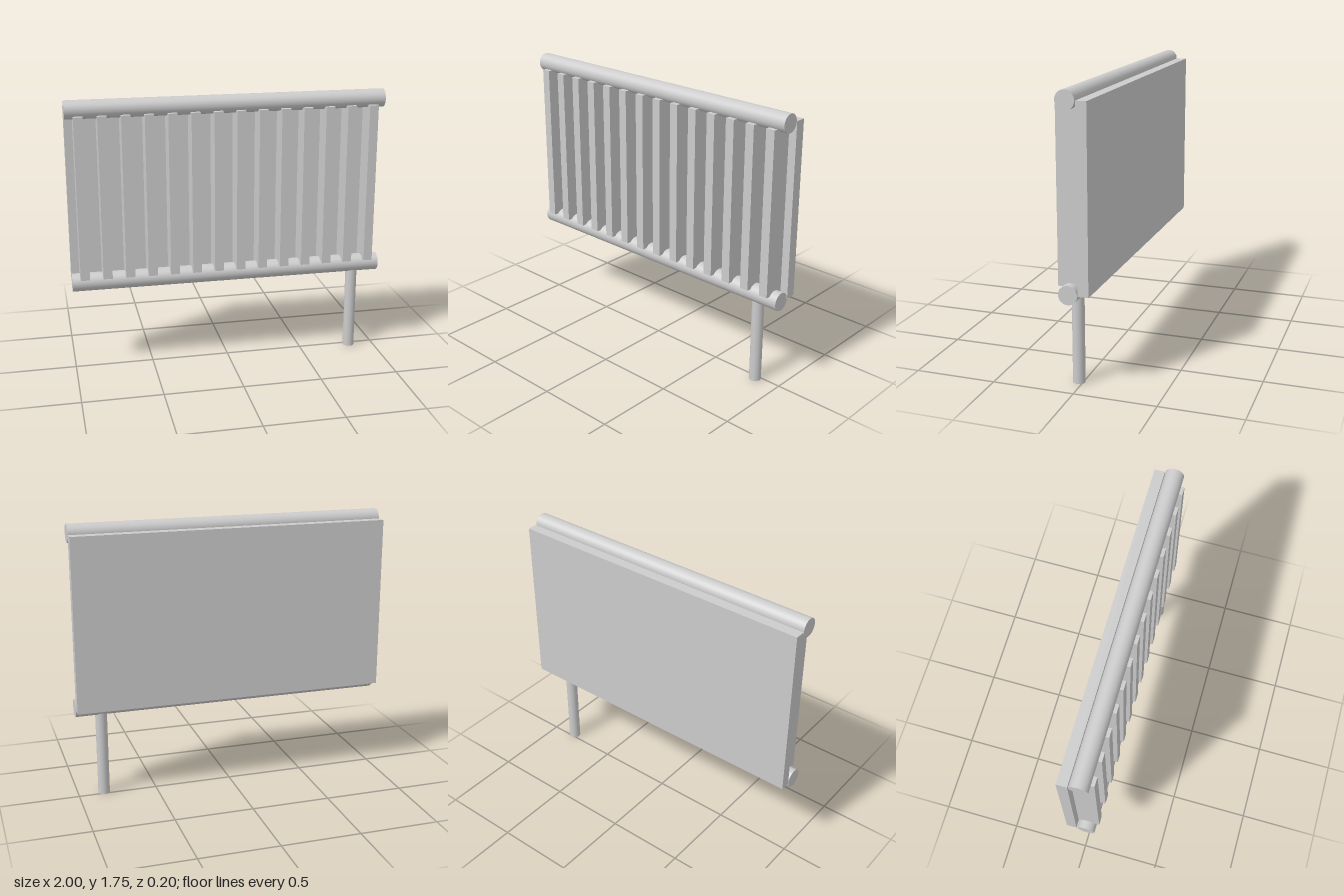
import * as THREE from 'three';

export function createModel() {
  const group = new THREE.Group();
  const material = new THREE.MeshStandardMaterial({ color: 0xcccccc });
  const add = (name, geometry, x, y, z) => {
    const mesh = new THREE.Mesh(geometry, material);
    mesh.name = name;
    mesh.position.set(x, y, z);
    group.add(mesh);
    return mesh;
  };

  const pipeZ = 0.025, lowY = 0.592, highY = 1.688;

  // Flat back panel, spanning between the pipe centres
  add('backPanel', new THREE.BoxGeometry(2, highY - lowY, 0.064), 0, (lowY + highY) / 2, -0.068);

  // Horizontal header pipes
  const pipe = new THREE.CylinderGeometry(0.057, 0.057, 2, 32).rotateZ(Math.PI / 2);
  add('topPipe', pipe, 0, highY, pipeZ);
  add('bottomPipe', pipe, 0, lowY, pipeZ);

  // Vertical fins in front of the panel
  const fins = 14, span = 1.842;
  const fin = new THREE.BoxGeometry(0.057, 1.028, 0.136);
  for (let i = 0; i < fins; i++) {
    add('fin' + (i + 1), fin, -span / 2 + (span * i) / (fins - 1), (lowY + highY) / 2, 0.032);
  }

  // Supply pipe down to the floor
  add('supplyPipe', new THREE.CylinderGeometry(0.037, 0.037, lowY, 32), 0.836, lowY / 2, pipeZ);

  return group;
}
